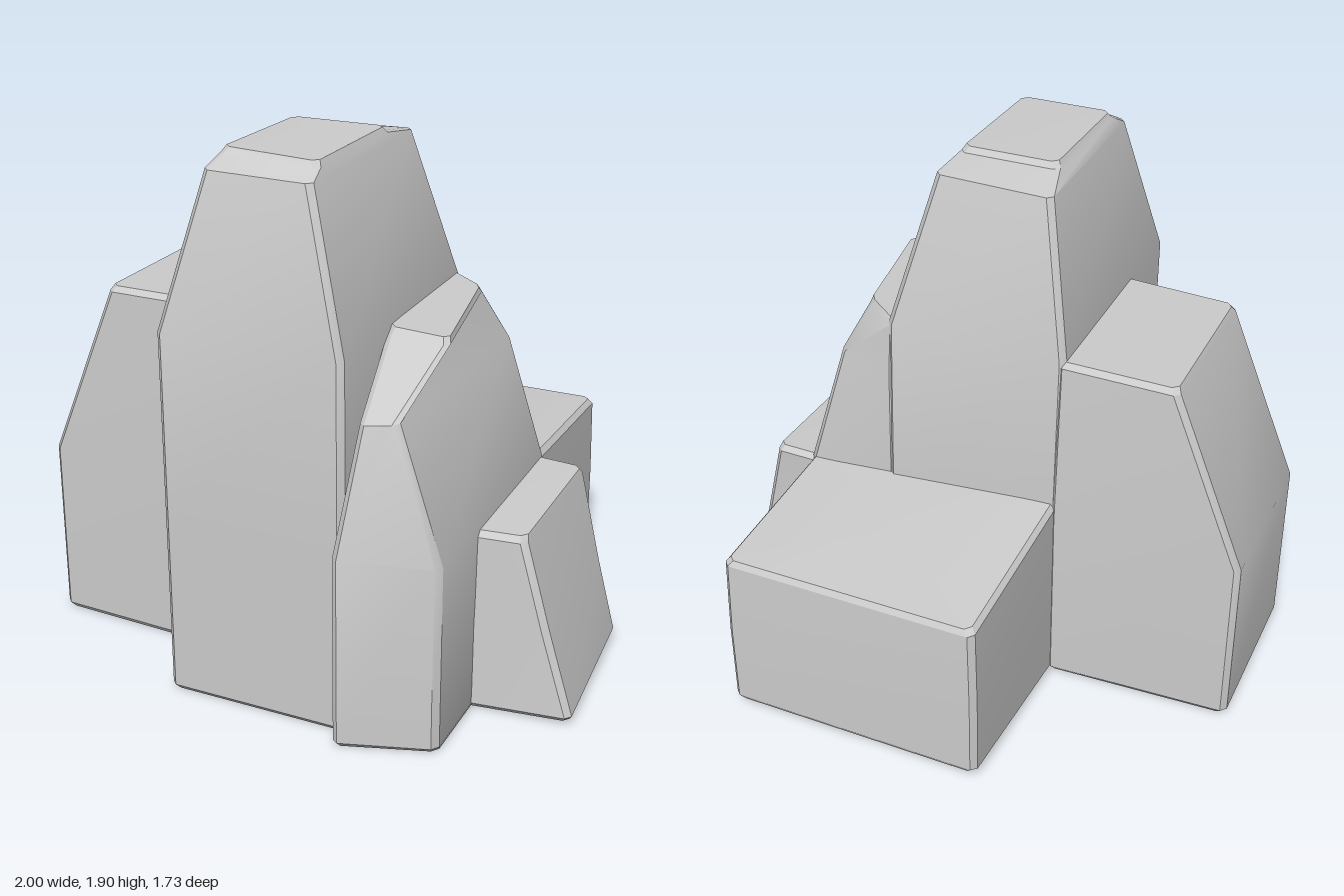
import * as THREE from 'three';
import { toCreasedNormals } from 'three/addons/utils/BufferGeometryUtils.js';

const material = new THREE.MeshStandardMaterial({ color: 0xcccccc });
const BEVEL = 0.02;

// Cuts each corner of a four-cornered ring, giving eight points.
function chamfer(ring) {
  const out = [];
  ring.forEach((p, i) => {
    for (const q of [ring[(i + 3) % 4], ring[(i + 1) % 4]]) {
      const d = Math.max(p.distanceTo(q), 1e-4);
      out.push(p.clone().lerp(q, Math.min(BEVEL / d, 0.4)));
    }
  });
  return out;
}

const centreOf = (ring) =>
  ring.reduce((s, p) => s.add(p), new THREE.Vector3()).divideScalar(ring.length);

// Ring pulled towards its centre, for the bevel round a cap.
function inset(ring) {
  const c = centreOf(ring);
  return ring.map((p) => p.clone().lerp(c, Math.min(BEVEL / p.distanceTo(c), 0.5)));
}

// Lofts a boulder through rings of [x, y, z] corners: front -x, front +x, back +x, back -x.
function boulder(name, levels) {
  const rings = levels.map((l) => l.map((p) => new THREE.Vector3(...p)));
  const low = rings[0], high = rings[rings.length - 1];
  rings.unshift(inset(low));
  rings.push(inset(high));
  low.forEach((p) => (p.y += BEVEL));
  high.forEach((p) => (p.y -= BEVEL));

  const loops = rings.map(chamfer);
  const pos = [];
  const tri = (...pts) => pts.forEach((p) => pos.push(p.x, p.y, p.z));
  const bottom = loops[0], top = loops[loops.length - 1];
  const cb = centreOf(bottom), ct = centreOf(top);
  for (let j = 0; j < 8; j++) {
    const k = (j + 1) % 8;
    for (let i = 0; i < loops.length - 1; i++) {
      const a = loops[i], b = loops[i + 1];
      tri(a[j], a[k], b[k]);
      tri(a[j], b[k], b[j]);
    }
    tri(cb, bottom[k], bottom[j]);
    tri(ct, top[j], top[k]);
  }
  const geometry = new THREE.BufferGeometry();
  geometry.setAttribute('position', new THREE.Float32BufferAttribute(pos, 3));
  const mesh = new THREE.Mesh(toCreasedNormals(geometry, 0.45), material);
  mesh.name = name;
  return mesh;
}

// Level rectangular ring.
const rect = (y, x0, x1, z0, z1) => [[x0, y, z1], [x1, y, z1], [x1, y, z0], [x0, y, z0]];

export function createModel() {
  const group = new THREE.Group();
  group.name = 'rockFormation';
  group.add(
    // Tall middle rock with a tapered peak
    boulder('centralPeak', [
      rect(0, -0.34, 0.325, -0.23, 0.78),
      rect(0.68, -0.34, 0.325, -0.23, 0.78),
      rect(1.32, -0.34, 0.325, -0.2, 0.78),
      [[-0.22, 1.84, 0.65], [0.17, 1.84, 0.67], [0.19, 1.86, -0.07], [-0.23, 1.85, -0.07]],
      [[-0.2, 1.9, 0.58], [0.16, 1.89, 0.6], [0.17, 1.9, 0.08], [-0.19, 1.9, 0.08]],
    ]),
    // Shouldered rock on the -x side
    boulder('shoulderRock', [
      [[-1, 0, 0.45], [-0.31, 0, 0.48], [-0.31, 0, -0.24], [-1, 0, -0.21]],
      [[-1, 0.66, 0.45], [-0.31, 0.7, 0.48], [-0.31, 0.7, -0.24], [-1, 0.66, -0.21]],
      [[-0.74, 1.32, 0.44], [-0.31, 1.325, 0.46], [-0.31, 1.325, -0.2], [-0.74, 1.32, -0.2]],
    ]),
    // Narrow rock leaning on the peak, rounded over at the front
    boulder('leaningRock', [
      [[0.322, 0, 0.87], [0.655, 0, 0.76], [0.655, 0, -0.22], [0.3, 0, -0.22]],
      [[0.322, 0.69, 0.87], [0.655, 0.68, 0.76], [0.655, 0.68, -0.22], [0.3, 0.68, -0.22]],
      [[0.36, 1.11, 0.74], [0.49, 1.13, 0.73], [0.54, 1.14, -0.15], [0.3, 1.13, -0.21]],
      [[0.32, 1.33, 0.44], [0.54, 1.32, 0.44], [0.45, 1.335, -0.09], [0.3, 1.335, -0.2]],
    ]),
    // Low wedge on the +x side
    boulder('smallSideRock', [
      [[0.6, 0, 0.46], [1, 0.015, 0.43], [0.96, 0.03, -0.21], [0.6, 0, -0.21]],
      [[0.6, 0.33, 0.46], [0.9, 0.33, 0.41], [0.9, 0.33, -0.18], [0.6, 0.33, -0.21]],
      [[0.6, 0.67, 0.45], [0.81, 0.655, 0.4], [0.815, 0.675, -0.2], [0.6, 0.68, -0.21]],
    ]),
    // Low block behind
    boulder('backRock', [
      [[-0.33, 0, -0.15], [0.65, 0, -0.15], [0.65, 0.03, -0.87], [-0.31, 0.03, -0.87]],
      [[-0.33, 0.35, -0.15], [0.655, 0.35, -0.15], [0.65, 0.35, -0.87], [-0.31, 0.35, -0.87]],
      [[-0.33, 0.77, -0.15], [0.65, 0.69, -0.15], [0.645, 0.66, -0.86], [-0.3, 0.66, -0.86]],
    ]),
  );
  return group;
}
